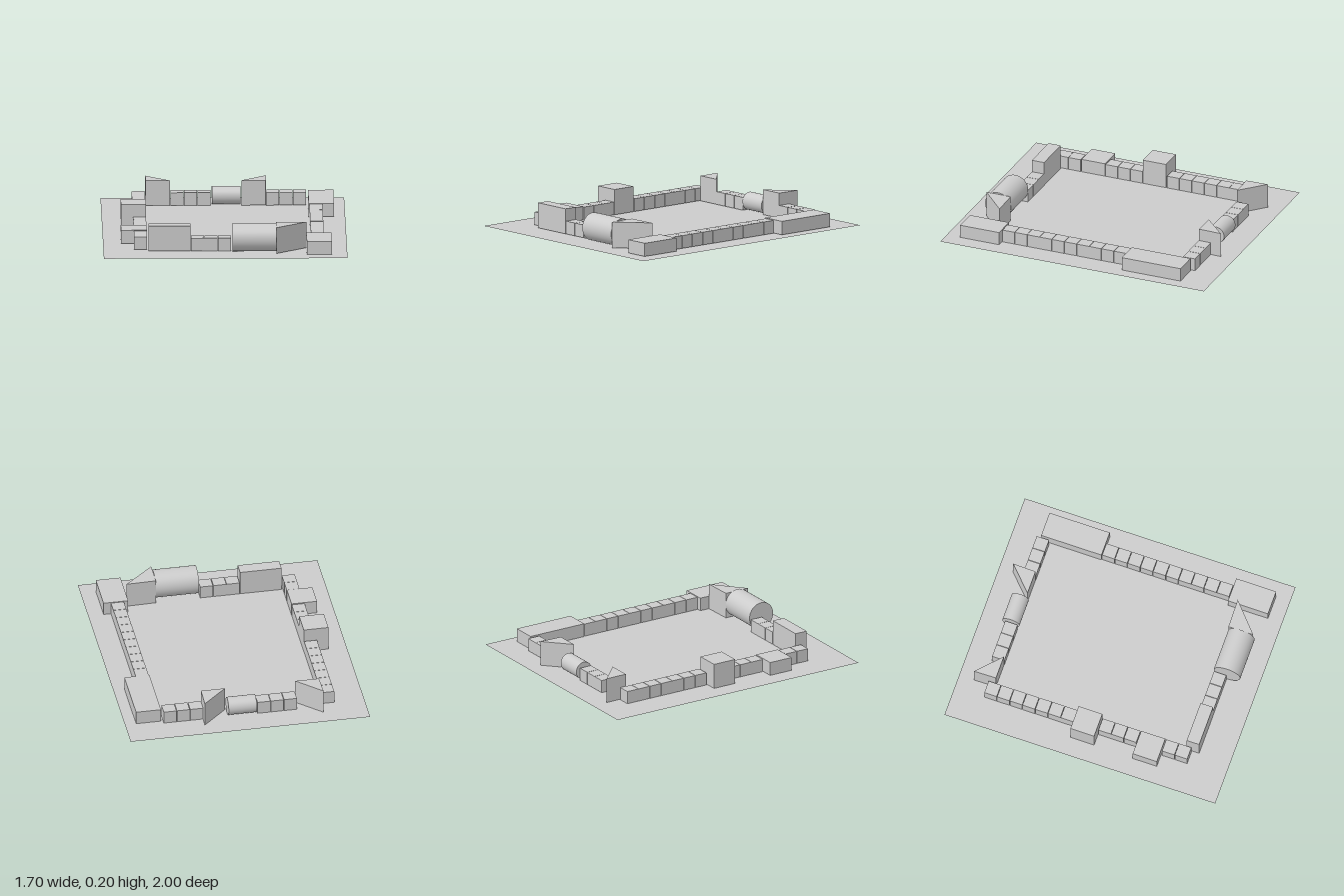
import * as THREE from 'three';

const BASE = 0.004; // underside of the parts, just above the ground sheet
const CUBE = 0.091;
const PITCH = 0.094;

export function createModel() {
  const model = new THREE.Group();
  const mat = new THREE.MeshStandardMaterial({ color: 0xcccccc });
  const sheet = new THREE.MeshStandardMaterial({ color: 0xcccccc, side: THREE.DoubleSide });

  const add = (name, geometry, material = mat) => {
    const mesh = new THREE.Mesh(geometry, material);
    mesh.name = name;
    model.add(mesh);
    return mesh;
  };

  // Box given by its footprint and top height
  const block = (name, x0, x1, z0, z1, top) =>
    add(name, new THREE.BoxGeometry(x1 - x0, top - BASE, z1 - z0))
      .position.set((x0 + x1) / 2, (top + BASE) / 2, (z0 + z1) / 2);

  // Row of small cubes starting at a corner and running along x or z
  const cubeRow = (name, x, z, count, axis) => {
    for (let i = 0; i < count; i++) {
      const cx = x + (axis === 'x' ? i * PITCH : 0);
      const cz = z + (axis === 'z' ? i * PITCH : 0);
      block(name, cx, cx + CUBE, cz, cz + CUBE, BASE + CUBE);
    }
  };

  // Lying drum with its axis along x
  const drum = (name, x0, x1, z, radius) => {
    const geo = new THREE.CylinderGeometry(radius, radius, x1 - x0, 40).rotateZ(Math.PI / 2);
    add(name, geo).position.set((x0 + x1) / 2, BASE + radius, z);
  };

  // Upright triangular prism from three [x, z] corners
  const wedge = (name, corners, top) => {
    const shape = new THREE.Shape(corners.map(([x, z]) => new THREE.Vector2(x, -z)));
    const geo = new THREE.ExtrudeGeometry(shape, { depth: top - BASE, bevelEnabled: false });
    add(name, geo.rotateX(-Math.PI / 2)).position.y = BASE;
  };

  // Ground sheet
  add('ground', new THREE.PlaneGeometry(1.7, 2).rotateX(-Math.PI / 2), sheet);

  // Right wall (-x)
  cubeRow('rightWallCube', -0.636, -0.78, 7, 'z');
  block('rightTower', -0.72, -0.545, -0.115, 0.06, 0.184);
  cubeRow('rightWallCube', -0.636, 0.063, 3, 'z');
  block('rightLowBlock', -0.725, -0.545, 0.347, 0.525, 0.1);
  cubeRow('rightWallCube', -0.636, 0.533, 2, 'z');

  // Left wall (+x)
  block('leftBackBlock', 0.595, 0.772, -0.79, -0.345, 0.1);
  cubeRow('leftWallCube', 0.599, -0.341, 10, 'z');
  block('leftFrontBlock', 0.567, 0.742, 0.6, 0.895, 0.098);

  // Front wall
  block('frontLongBlock', -0.536, -0.242, 0.68, 0.772, 0.182);
  cubeRow('frontWallCube', -0.238, 0.68, 3, 'x');
  drum('frontDrum', 0.05, 0.356, 0.773, 0.098);
  wedge('frontWedge', [[0.356, 0.677], [0.356, 0.86], [0.566, 0.672]], 0.188);

  // Back wall
  wedge('backRightWedge', [[-0.54, -0.89], [-0.537, -0.729], [-0.368, -0.729]], 0.182);
  cubeRow('backWallCube', -0.364, -0.818, 3, 'x');
  drum('backDrum', -0.076, 0.124, -0.78, 0.063);
  wedge('backLeftWedge', [[0.13, -0.729], [0.3, -0.729], [0.304, -0.895]], 0.182);
  cubeRow('backWallCube', 0.302, -0.818, 3, 'x');

  return model;
}
